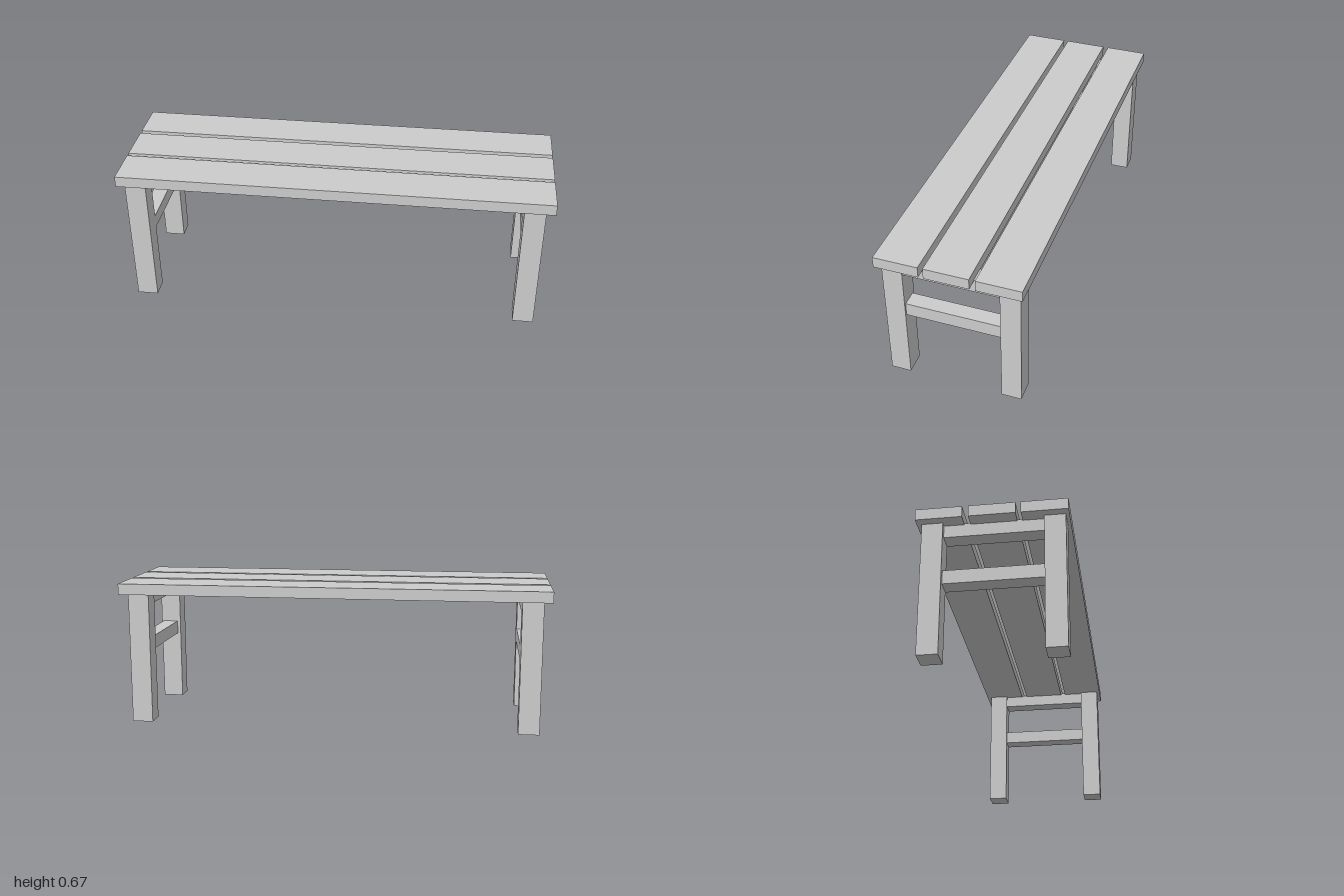
import * as THREE from 'three';

const material = new THREE.MeshStandardMaterial({ color: 0xcccccc, flatShading: true });

// Box given by its [min, max] extents on each axis
function beam(name, [x0, x1], [y0, y1], [z0, z1]) {
  const mesh = new THREE.Mesh(new THREE.BoxGeometry(x1 - x0, y1 - y0, z1 - z0), material);
  mesh.name = name;
  mesh.position.set((x0 + x1) / 2, (y0 + y1) / 2, (z0 + z1) / 2);
  return mesh;
}

export function createModel() {
  const bench = new THREE.Group();
  bench.name = 'bench';

  // Three seat planks with narrow gaps
  const planks = { frontPlank: [0.124, 0.324], middlePlank: [-0.098, 0.102], backPlank: [-0.324, -0.124] };
  for (const [name, z] of Object.entries(planks)) {
    bench.add(beam(name, [-1, 1], [0.615, 0.666], z));
  }

  // Two end frames: a pair of legs joined by an upper and a lower rail
  const ends = [
    { side: 'right', leg: [-0.962, -0.865], rail: [-0.937, -0.865] },
    { side: 'left', leg: [0.862, 0.959], rail: [0.877, 0.949] },
  ];
  for (const { side, leg, rail } of ends) {
    const frame = new THREE.Group();
    frame.name = side + 'EndFrame';
    frame.add(
      beam('frontLeg', leg, [0, 0.615], [0.218, 0.309]),
      beam('backLeg', leg, [0, 0.615], [-0.303, -0.212]),
      beam('upperRail', rail, [0.558, 0.621], [-0.212, 0.218]),
      beam('lowerRail', rail, [0.334, 0.397], [-0.212, 0.218]),
    );
    bench.add(frame);
  }
  return bench;
}
